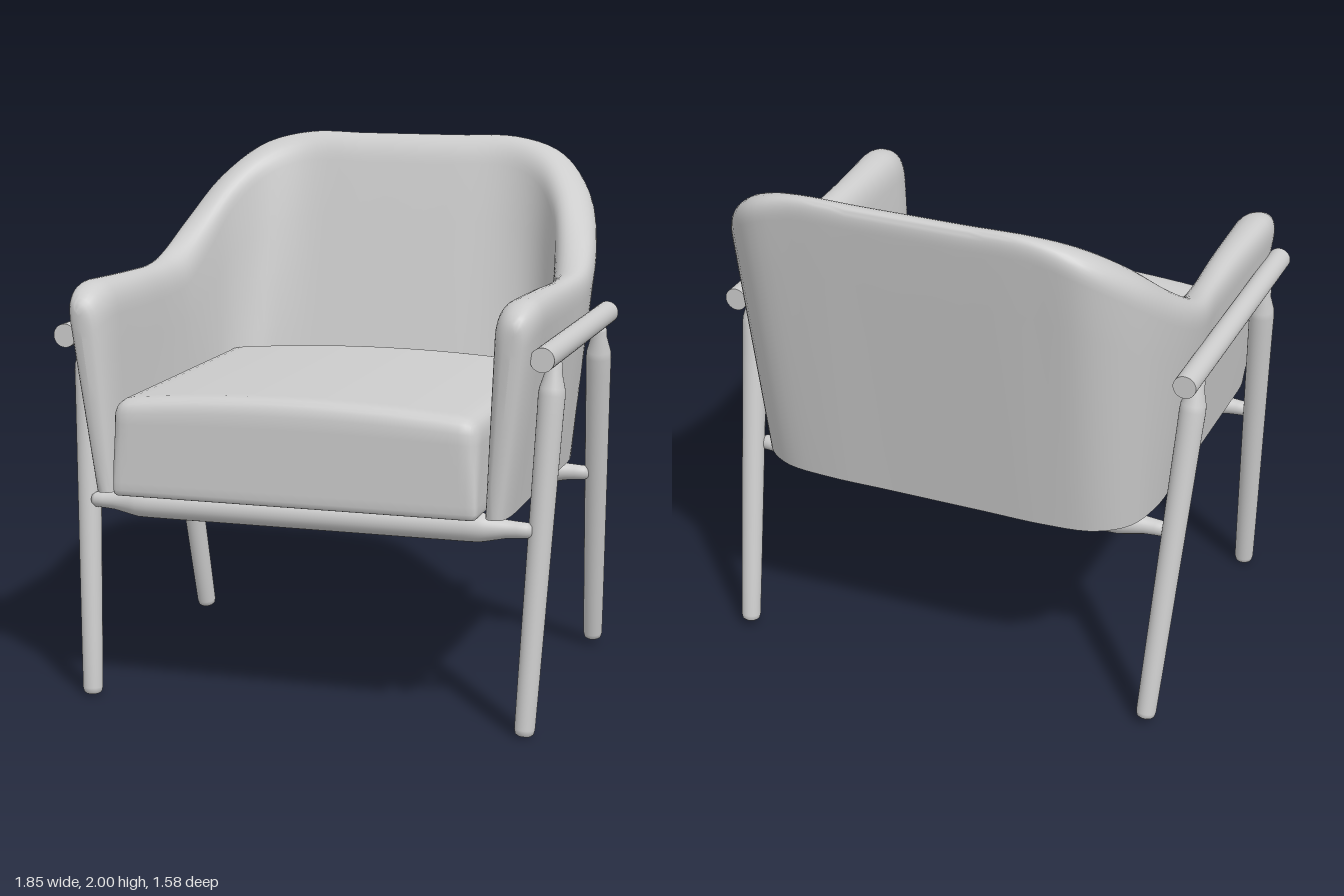
import * as THREE from 'three';
import { toCreasedNormals } from 'three/addons/utils/BufferGeometryUtils.js';

const V = (x, y, z) => new THREE.Vector3(x, y, z);

// Smooth line round the chair: half the points are given (left arm front to
// centre back), the other half is mirrored.
function uCurve(half) {
  const pts = half.map(p => V(...p));
  const mirrored = pts.slice(0, -1).reverse().map(p => V(-p.x, p.y, p.z));
  return new THREE.CatmullRomCurve3([...pts, ...mirrored]);
}

// Upholstered shell: one wall section swept round the arms and back
function shellGeometry() {
  const BASE = 0.8;
  const rim = uCurve([[.80, 1.56, .62], [.79, 1.55, .3], [.80, 1.545, .05], [.815, 1.57, -.14], [.79, 1.68, -.34],
    [.72, 1.84, -.55], [.6, 1.955, -.70], [.43, 2, -.76], [.2, 2, -.765], [0, 2, -.765]]);
  const outTop = uCurve([[.86, 1.45, .62], [.845, 1.44, .3], [.845, 1.44, .05], [.86, 1.47, -.16], [.84, 1.57, -.38],
    [.77, 1.73, -.61], [.63, 1.86, -.76], [.44, 1.92, -.785], [.2, 1.92, -.787], [0, 1.92, -.787]]);
  const inTop = uCurve([[.705, 1.44, .62], [.71, 1.43, .3], [.72, 1.43, .05], [.72, 1.45, -.12], [.70, 1.55, -.28],
    [.65, 1.72, -.46], [.55, 1.84, -.60], [.42, 1.89, -.665], [.2, 1.89, -.67], [0, 1.89, -.67]]);
  const flat = list => uCurve(list.map(([x, z]) => [x, BASE, z]));
  const outBase = flat([[.77, .62], [.77, .3], [.77, .05], [.77, -.14], [.765, -.33],
    [.72, -.49], [.61, -.575], [.43, -.6], [.2, -.6], [0, -.6]]);
  const inBase = flat([[.68, .62], [.675, .3], [.67, .05], [.67, -.12], [.665, -.25],
    [.63, -.35], [.55, -.4], [.42, -.41], [.2, -.41], [0, -.41]]);

  // One side of the section: straight wall, then a roll up to the rim
  const side = (base, top, crest) => {
    const ctrl = base.clone().lerp(top, (crest.y - base.y) / (top.y - base.y));
    const wall = [0, .2, .4, .6, .8].map(t => base.clone().lerp(top, t));
    return [...wall, ...new THREE.QuadraticBezierCurve3(top, ctrl, crest).getPoints(8)];
  };
  const section = t => {
    const crest = rim.getPoint(t);
    const outer = side(outBase.getPoint(t), outTop.getPoint(t), crest);
    const inner = side(inBase.getPoint(t), inTop.getPoint(t), crest);
    return [...outer, ...inner.reverse().slice(1)];
  };
  // Rounded arm front: the section narrows to its middle line
  const frontRing = (ring, angle) => {
    const c = Math.max(0, Math.cos(angle)), s = Math.sin(angle);
    return ring.map((p, i) => {
      const mid = (p.x + ring[ring.length - 1 - i].x) / 2;
      return V(mid + (p.x - mid) * Math.pow(c, .6),
        BASE + (p.y - BASE) * (1 - .13 * (1 - c)),
        p.z + s * (.13 + .03 * (p.y - BASE) / .65));
    });
  };

  const N = 80, STEPS = 9;
  const rings = [];
  for (let j = 0; j <= N; j++) rings.push(section(j / N));
  const first = rings[0], last = rings[N];
  for (let k = 1; k <= STEPS; k++) {
    const angle = k / STEPS * Math.PI / 2;
    rings.unshift(frontRing(first, angle));
    rings.push(frontRing(last, angle));
  }

  const M = first.length, index = [];
  for (let j = 0; j < rings.length - 1; j++) {
    for (let i = 0; i < M; i++) {
      const a = j * M + i, b = a + M, c = j * M + (i + 1) % M, d = c + M;
      index.push(a, b, c, b, d, c);
    }
  }
  const geo = new THREE.BufferGeometry().setFromPoints(rings.flat());
  geo.setIndex(index);
  return toCreasedNormals(geo, 1);
}

// Cushion: box with rounded edges and a crowned top
function cushionGeometry(w, h, d) {
  const geo = new THREE.BoxGeometry(2, 2, 2, 28, 12, 28);
  const pos = geo.attributes.position;
  const half = V(w / 2, h / 2, d / 2);
  for (let i = 0; i < pos.count; i++) {
    const u = V().fromBufferAttribute(pos, i);
    // crowd the grid towards the edges
    const p = V(...u.toArray().map(v => Math.sin(v * Math.PI / 2))).multiply(half);
    const r = THREE.MathUtils.lerp(.02, .06, THREE.MathUtils.smoothstep(u.y, -.6, .6));
    const limit = half.clone().subScalar(r);
    const core = p.clone().clamp(limit.clone().negate(), limit);
    p.sub(core).normalize().multiplyScalar(r).add(core);
    const lift = THREE.MathUtils.smoothstep(p.y, 0, h / 2);
    p.y += lift * .035 * (1 - (p.x / half.x) ** 2);
    pos.setXYZ(i, p.x, p.y, p.z);
  }
  return toCreasedNormals(geo, 1);
}

const lathe = profile => new THREE.LatheGeometry(profile.map(([r, y]) => new THREE.Vector2(r, y)), 28);

export function createModel() {
  const model = new THREE.Group();
  model.name = 'armchair';
  const grey = new THREE.MeshStandardMaterial({ color: 0xcccccc });
  grey.name = 'light grey';

  const add = (name, geo, x = 0, y = 0, z = 0) => {
    const mesh = new THREE.Mesh(geo, grey);
    mesh.name = name;
    mesh.position.set(x, y, z);
    model.add(mesh);
    return mesh;
  };

  add('shell', shellGeometry());
  add('seatCushion', cushionGeometry(1.35, .35, 1.25), 0, .975, .167);

  // Turned leg, foot at the origin
  const leg = lathe([[0, 0], [.024, .001], [.033, .008], [.037, .025], [.039, .2], [.047, 1.15], [.048, 1.21],
    [.046, 1.235], [.031, 1.29], [.03, 1.32], [.024, 1.335], [0, 1.345]]);
  // Cross bar with slim ends
  const barEnd = [[0, -.835], [.018, -.83], [.028, -.815], [.03, -.78], [.033, -.74], [.048, -.67], [.053, -.645], [.054, -.6]];
  const bar = lathe([...barEnd, ...barEnd.map(([r, y]) => [r, -y]).reverse()]);
  const rail = new THREE.CylinderGeometry(.043, .043, 1.13, 32);

  for (const [label, s] of [['left', 1], ['right', -1]]) {
    add(label + 'ArmRail', rail, s * .88, 1.362, .147).rotation.x = Math.PI / 2;
    for (const [end, foot, top] of [
      ['Front', V(s * .824, .005, .657), V(s * .88, 1.33, .513)],
      ['Back', V(s * .824, .025, -.543), V(s * .88, 1.33, -.268)],
    ]) {
      const mesh = add(label + end + 'Leg', leg, ...foot.toArray());
      mesh.quaternion.setFromUnitVectors(V(0, 1, 0), top.sub(foot).normalize());
    }
  }
  add('frontCrossBar', bar, 0, .738, .605).rotation.z = Math.PI / 2;
  add('backCrossBar', bar, 0, .738, -.365).rotation.z = Math.PI / 2;
  return model;
}
